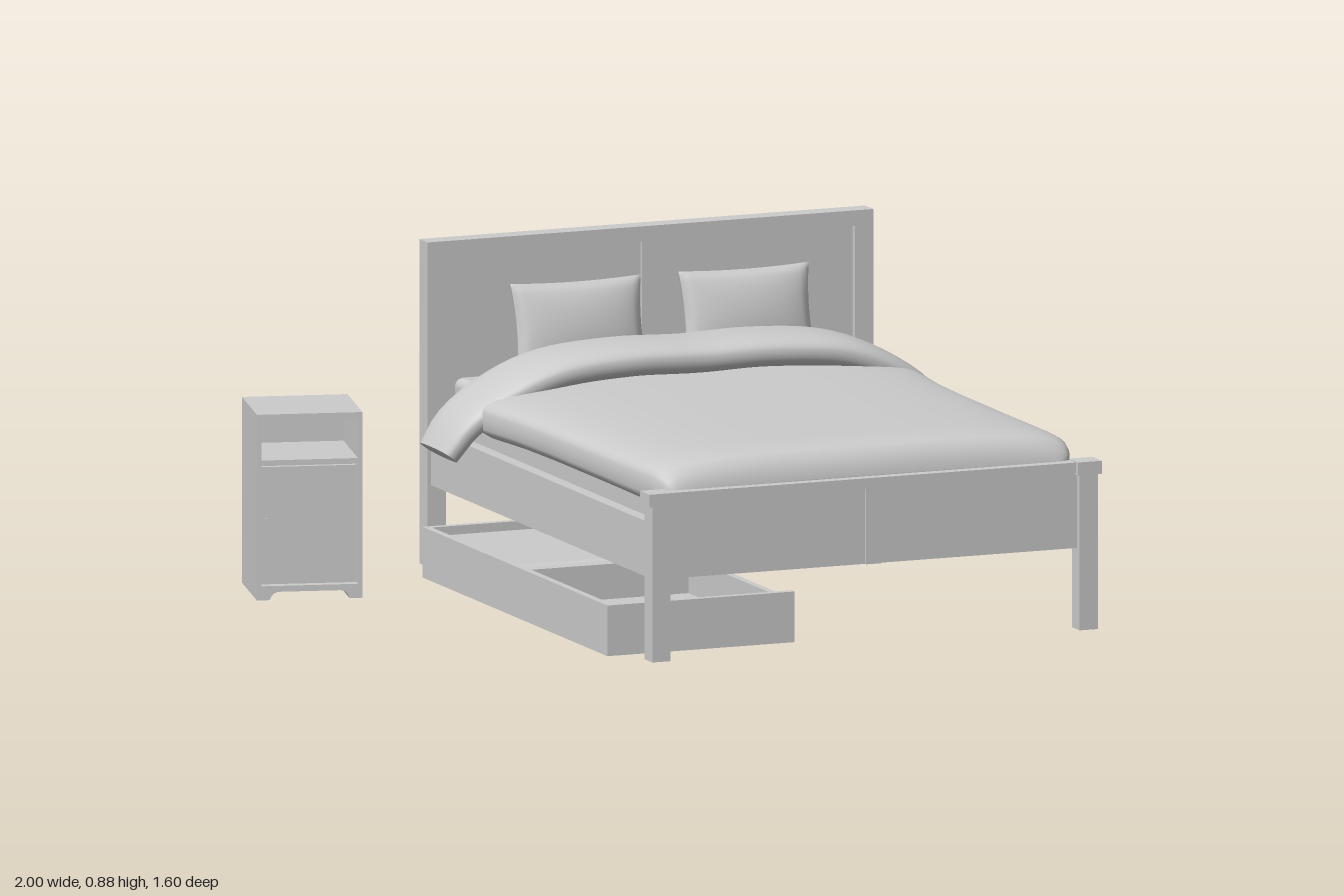
import * as THREE from 'three';
import { mergeVertices } from 'three/addons/utils/BufferGeometryUtils.js';
import { RoundedBoxGeometry } from 'three/addons/geometries/RoundedBoxGeometry.js';

const grey = new THREE.MeshStandardMaterial({ color: 0xcccccc });
const CX = 0.257; // middle of the bed in x

function add(parent, name, geometry) {
  const mesh = new THREE.Mesh(geometry, grey);
  mesh.name = name;
  parent.add(mesh);
  return mesh;
}

function group(parent, name) {
  const g = new THREE.Group();
  g.name = name;
  parent.add(g);
  return g;
}

// Box given by its limits on each axis
function box(parent, name, [x0, x1], [y0, y1], [z0, z1]) {
  const mesh = add(parent, name, new THREE.BoxGeometry(x1 - x0, y1 - y0, z1 - z0));
  mesh.position.set((x0 + x1) / 2, (y0 + y1) / 2, (z0 + z1) / 2);
  return mesh;
}

// Unit superellipse point
function superPoint(t, n) {
  const f = (v) => Math.sign(v) * Math.abs(v) ** (2 / n);
  return [f(Math.cos(t)), f(Math.sin(t))];
}

// Skin closed rings of equal point count, with flat caps on both ends
function loft(rings) {
  const n = rings[0].length, pos = [], idx = [];
  const push = (p) => pos.push(p.x, p.y, p.z) / 3 - 1;
  rings.forEach((r) => r.forEach(push));
  for (let i = 0; i < rings.length - 1; i++) {
    for (let j = 0; j < n; j++) {
      const k = (j + 1) % n, a = i * n, d = a + n;
      idx.push(a + j, a + k, d + k, a + j, d + k, d + j);
    }
  }
  for (const [ring, flip] of [[rings[0], true], [rings[rings.length - 1], false]]) {
    const c = push(ring.reduce((s, p) => s.add(p), new THREE.Vector3()).divideScalar(n));
    ring.forEach(push);
    for (let j = 0; j < n; j++) {
      const a = c + 1 + j, b = c + 1 + ((j + 1) % n);
      flip ? idx.push(c, b, a) : idx.push(c, a, b);
    }
  }
  const g = new THREE.BufferGeometry();
  g.setAttribute('position', new THREE.Float32BufferAttribute(pos, 3));
  g.setIndex(idx);
  g.computeVertexNormals();
  return g;
}

// Duvet: rounded sections along z as [z, half width, half height, centre y]
function duvetGeometry() {
  const rows = [
    [-0.58, 0.62, 0.08, 0.455], [-0.37, 0.64, 0.082, 0.455], [-0.2, 0.622, 0.081, 0.455],
    [0, 0.615, 0.081, 0.455], [0.35, 0.61, 0.084, 0.455], [0.6, 0.607, 0.088, 0.455],
    [0.68, 0.602, 0.087, 0.455], [0.72, 0.594, 0.078, 0.452], [0.745, 0.582, 0.063, 0.445],
    [0.757, 0.565, 0.042, 0.435], [0.76, 0.55, 0.025, 0.43],
  ];
  return loft(rows.map(([z, w, h, cy]) => Array.from({ length: 64 }, (_, j) => {
    const [x, y] = superPoint((j / 64) * Math.PI * 2, 3.5);
    return new THREE.Vector3(CX + x * w, cy + y * h, z);
  })));
}

// Folded end of the duvet: a flattened tube arched over the mattress
function foldGeometry() {
  const half = [[0.715, 0.355], [0.66, 0.43], [0.55, 0.505], [0.41, 0.56], [0.2, 0.58]];
  const pts = [
    ...half.map(([x, y]) => new THREE.Vector3(CX - x, y, 0)),
    new THREE.Vector3(CX, 0.576, 0),
    ...half.slice().reverse().map(([x, y]) => new THREE.Vector3(CX + x, y, 0)),
  ];
  const curve = new THREE.CatmullRomCurve3(pts);
  const rings = [];
  for (let i = 0; i <= 48; i++) {
    const u = i / 48, e = Math.abs(2 * u - 1);
    const p = curve.getPointAt(u), t = curve.getTangentAt(u);
    const thick = 0.046 - 0.012 * e ** 4;
    const wide = 0.122 + 0.008 * Math.sin(e * Math.PI) - 0.024 * e ** 6;
    rings.push(Array.from({ length: 40 }, (_, j) => {
      const [a, b] = superPoint((j / 40) * Math.PI * 2, 2.6);
      return new THREE.Vector3(p.x - t.y * a * thick, p.y + t.x * a * thick, -0.487 - 0.012 * e ** 4 + b * wide);
    }));
  }
  return loft(rings);
}

// Pillow: a thin box puffed in the middle with pinched edges
function pillowGeometry(w, h, d) {
  const g = new THREE.BoxGeometry(2, 2, 2, 24, 18, 1);
  g.deleteAttribute('normal');
  g.deleteAttribute('uv');
  const p = g.attributes.position;
  for (let i = 0; i < p.count; i++) {
    const x = p.getX(i), y = p.getY(i), s = Math.sign(p.getZ(i));
    const puff = Math.sqrt(Math.max(0, (1 - x * x) * (1 - y * y)));
    p.setXYZ(i, x * (w / 2) * (1 - 0.05 * (1 - y * y)), y * (h / 2) * (1 - 0.05 * (1 - x * x)),
      s * (0.004 + (d / 2) * puff));
  }
  const m = mergeVertices(g);
  m.computeVertexNormals();
  return m;
}

function buildFrame(parent) {
  const frame = group(parent, 'bedFrame');
  const stile = [CX - 0.022, CX + 0.022];
  for (const s of [-1, 1]) {
    const side = (a, b) => [CX + s * a, CX + s * b].sort((m, n) => m - n);
    box(frame, 'headboardPost', side(0.59, 0.643), [0, 0.875], [-0.8, -0.745]);
    box(frame, 'footboardLeg', side(0.59, 0.643), [0, 0.43], [0.745, 0.798]);
    box(frame, 'legCap', side(0.583, 0.653), [0.42, 0.455], [0.738, 0.802]);
    box(frame, 'sideRail', side(0.598, 0.633), [0.22, 0.37], [-0.75, 0.75]);
  }
  // Headboard
  box(frame, 'headboardTopRail', [CX - 0.643, CX + 0.643], [0.835, 0.877], [-0.802, -0.745]);
  box(frame, 'headboardPanel', [CX - 0.6, CX + 0.6], [0.22, 0.85], [-0.788, -0.762]);
  box(frame, 'headboardStile', stile, [0.22, 0.85], [-0.775, -0.75]);
  // Footboard
  box(frame, 'footboardPanel', [CX - 0.6, CX + 0.6], [0.22, 0.44], [0.755, 0.78]);
  box(frame, 'footboardTopRail', [CX - 0.6, CX + 0.6], [0.425, 0.453], [0.748, 0.79]);
  box(frame, 'footboardStile', stile, [0.22, 0.44], [0.765, 0.788]);
  // Mattress support
  box(frame, 'bedBase', [CX - 0.61, CX + 0.61], [0.222, 0.3], [-0.765, 0.757]);
}

function buildBedding(parent) {
  const bedding = group(parent, 'bedding');
  const mattress = add(bedding, 'mattress', new RoundedBoxGeometry(1.15, 0.22, 1.44, 4, 0.025));
  mattress.position.set(CX, 0.4, -0.02);
  add(bedding, 'duvet', duvetGeometry());
  add(bedding, 'duvetFold', foldGeometry());
  for (const x of [0.025, 0.51]) {
    const pillow = add(bedding, 'pillow', pillowGeometry(0.375, 0.25, 0.085));
    pillow.position.set(x, 0.632, -0.686);
    pillow.rotation.x = -0.2;
  }
}

function buildDrawer(parent) {
  const drawer = group(parent, 'underbedDrawer');
  const x = [-0.46, 0.08], z = [-0.605, 0.665], t = 0.02;
  box(drawer, 'drawerBottom', x, [0, 0.02], z);
  box(drawer, 'drawerFront', [x[0], x[0] + t], [0, 0.137], z);
  box(drawer, 'drawerBack', [x[1] - t, x[1]], [0, 0.115], z);
  for (const e of [z[0], z[1] - t]) box(drawer, 'drawerEnd', x, [0, 0.137], [e, e + t]);
  box(drawer, 'drawerDivider', [x[0] + t, x[1] - t], [0.02, 0.115], [-0.04, -0.015]);
  // Spare bedding stored in the rear half
  const stored = add(drawer, 'storedBlanket', new RoundedBoxGeometry(0.49, 0.1, 0.53, 4, 0.03));
  stored.position.set(-0.19, 0.07, -0.313);
}

function buildNightstand(parent) {
  const stand = group(parent, 'nightstand');
  const w = 0.142, d = 0.135, t = 0.012;
  for (const s of [-1, 1]) {
    const xs = s < 0 ? [-w, -w + t] : [w - t, w];
    box(stand, 'sidePanel', xs, [0, 0.49], [-d, d]);
  }
  box(stand, 'topPanel', [-w, w], [0.488, 0.502], [-d, d]);
  box(stand, 'shelf', [-w + t, w - t], [0.363, 0.378], [-d, d]);
  box(stand, 'backPanel', [-w + t, w - t], [0.03, 0.488], [-d, -d + 0.008]);
  box(stand, 'door', [-w + t + 0.003, w - t - 0.003], [0.042, 0.359], [d - 0.022, d - 0.006]);
  box(stand, 'doorHandle', [-w + 0.022, -w + 0.029], [0.17, 0.22], [d - 0.006, d + 0.004]);
  // Plinth with a shaped cut-out running front to back
  const plinth = new THREE.Shape();
  plinth.moveTo(-w, 0).lineTo(-w + 0.035, 0);
  plinth.quadraticCurveTo(-w + 0.04, 0.02, -w + 0.06, 0.022);
  plinth.lineTo(w - 0.06, 0.022);
  plinth.quadraticCurveTo(w - 0.04, 0.02, w - 0.035, 0);
  plinth.lineTo(w, 0).lineTo(w, 0.038).lineTo(-w, 0.038);
  const geo = new THREE.ExtrudeGeometry(plinth, { depth: 2 * d, bevelEnabled: false, curveSegments: 6 });
  add(stand, 'plinth', geo.translate(0, 0, -d));
  stand.position.set(-0.828, 0, -0.555);
  stand.rotation.y = -0.25;
}

export function createModel() {
  const model = new THREE.Group();
  model.name = 'bedroomSet';
  buildFrame(model);
  buildBedding(model);
  buildDrawer(model);
  buildNightstand(model);
  return model;
}
